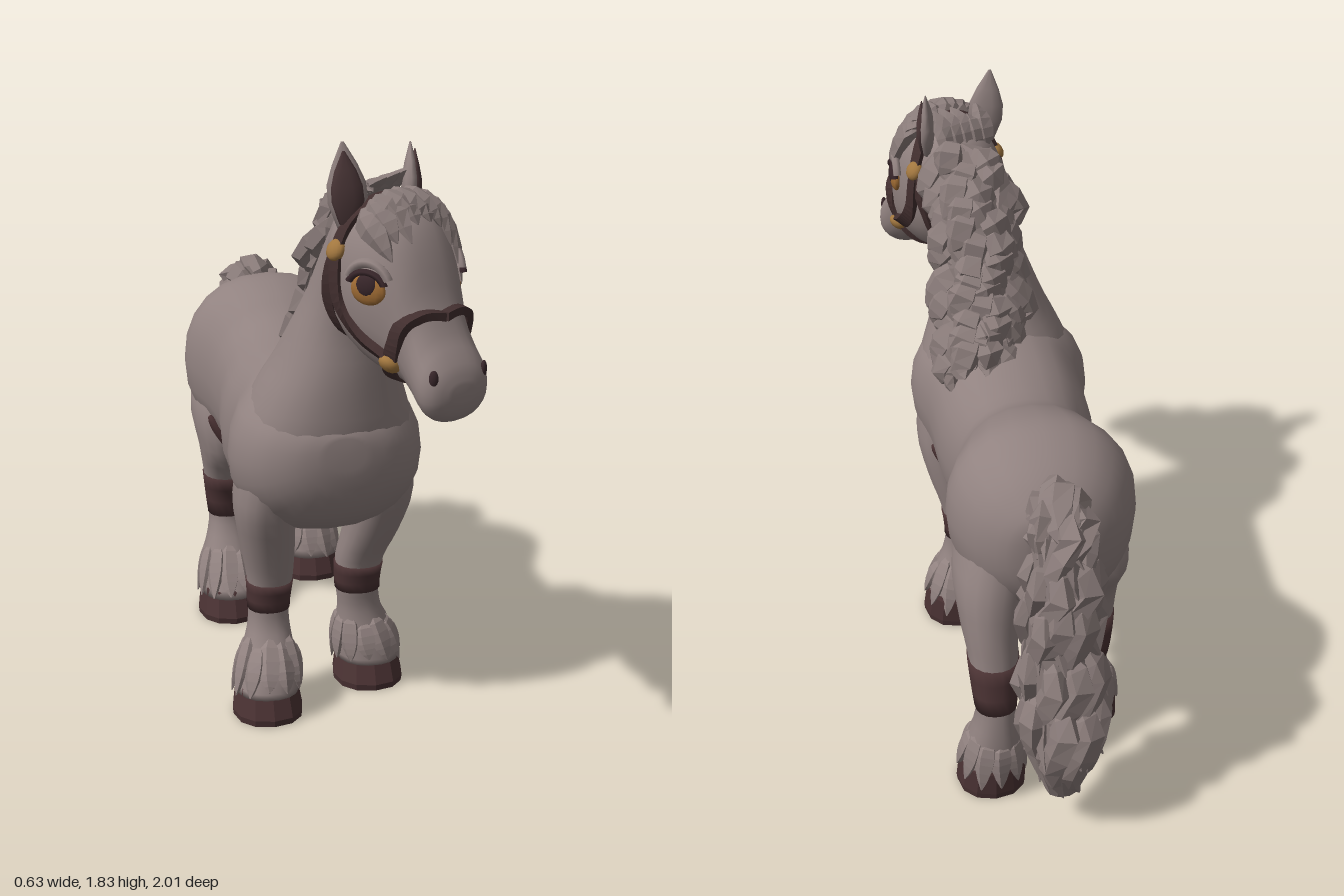
import * as THREE from 'three';
import { mergeGeometries } from 'three/addons/utils/BufferGeometryUtils.js';

const V = (x, y, z) => new THREE.Vector3(x, y, z);
const mat = (name, color) => Object.assign(new THREE.MeshStandardMaterial({ color }), { name });
const put = (parent, name, obj) => { obj.name = name; parent.add(obj); return obj; };
const group = (parent, name) => put(parent, name, new THREE.Group());
const add = (parent, name, geo, m) => put(parent, name, new THREE.Mesh(geo, m));
let seed = 7;
const rnd = () => { seed = (seed * 16807) % 2147483647; return seed / 2147483647 - 0.5; };

// Closed skin over a list of equal-length rings, always facing outward
function loft(rings, flat = false) {
  const n = rings[0].length, idx = [];
  const cap = r => r.map(() => r.reduce((s, p) => s.add(p), V(0, 0, 0)).divideScalar(n));
  const all = [cap(rings[0]), ...rings, cap(rings[rings.length - 1])], pts = all.flat();
  for (let i = 0; i < all.length - 1; i++) for (let j = 0; j < n; j++) {
    const a = i * n + j, b = i * n + (j + 1) % n;
    idx.push(a, b, a + n, b, b + n, a + n);
  }
  let volume = 0;
  for (let i = 0; i < idx.length; i += 3) volume += pts[idx[i]].dot(V(0, 0, 0).crossVectors(pts[idx[i + 1]], pts[idx[i + 2]]));
  if (volume < 0) idx.reverse();
  let g = new THREE.BufferGeometry().setFromPoints(pts).setIndex(idx);
  if (flat) g = g.toNonIndexed();
  g.computeVertexNormals();
  return g;
}
const pw = v => Math.sign(v) * Math.abs(v) ** 0.9;
const ring = (c, u, v, n) => Array.from({ length: n }, (_, i) => {
  const a = i / n * Math.PI * 2;
  return c.clone().addScaledVector(u, pw(Math.cos(a))).addScaledVector(v, pw(Math.sin(a)));
});
// Catmull-Rom refinement of a table of cross-sections
function refine(t, k = 3) {
  const out = [], at = i => t[Math.min(t.length - 1, Math.max(0, i))];
  for (let i = 0; i < t.length - 1; i++) for (let f = 0; f < 0.99; f += 1 / k) {
    out.push(t[i].map((b, c) => {
      const a = at(i - 1)[c], d = at(i + 1)[c], e = at(i + 2)[c];
      return b + 0.5 * f * (d - a + f * (2 * a - 5 * b + 4 * d - e + f * (3 * (b - d) + e - a)));
    }));
  }
  return [...out, t[t.length - 1]];
}
// Linear lookup of a row by its first column
function sample(t, key) {
  const s = Math.sign(t[1][0] - t[0][0]);
  let i = 0;
  while (i < t.length - 2 && (key - t[i + 1][0]) * s > 0) i++;
  const f = THREE.MathUtils.clamp((key - t[i][0]) / (t[i + 1][0] - t[i][0]), 0, 1);
  return t[i].map((v, c) => v + (t[i + 1][c] - v) * f);
}
// Rows [y, cx, cz, rx, rz] and rows [z, top, bottom, cx, halfWidth]
const flatRing = ([y, cx, cz, rx, rz], k = 1, n = 18) => ring(V(cx, y, cz), V(rx * k, 0, 0), V(0, 0, rz * k), n);
const uprightRing = ([z, t, b, cx, w]) => ring(V(cx, (t + b) / 2, z), V(w, 0, 0), V(0, (t - b) / 2, 0), 24);
// Tapered, flattened lock of hair
function lock(points, r, out) {
  const c = new THREE.CatmullRomCurve3(points);
  return loft(Array.from({ length: 7 }, (_, i) => {
    const t = i / 6, d = c.getTangent(t), u = V(0, 0, 0).crossVectors(d, out).normalize();
    const k = r * (0.06 + Math.sin(Math.PI * t ** 0.7) ** 0.8);
    return ring(c.getPoint(t), u.clone().multiplyScalar(k), u.cross(d).multiplyScalar(k * 0.6), 5);
  }), true);
}
// Head cross-sections in the turned head's own frame
const HEAD = refine([
  [-0.14, 1.56, 1.4, 0, 0.06], [-0.09, 1.64, 1.29, 0, 0.125], [0, 1.67, 1.22, 0, 0.155], [0.1, 1.67, 1.19, 0, 0.158],
  [0.17, 1.63, 1.18, 0, 0.142], [0.22, 1.55, 1.165, 0, 0.122], [0.265, 1.43, 1.13, 0, 0.108], [0.31, 1.345, 1.105, 0, 0.112],
  [0.345, 1.3, 1.105, 0, 0.11], [0.372, 1.26, 1.13, 0, 0.085], [0.385, 1.22, 1.17, 0, 0.04]]);
function headPoint(z, deg, k = 1) {
  const [, t, b, , w] = sample(HEAD, z), a = deg * Math.PI / 180;
  return V(k * w * pw(Math.sin(a)), (t + b) / 2 + k * (t - b) / 2 * pw(Math.cos(a)), z);
}
const headNormal = (z, deg) => headPoint(z, deg, 1.2).sub(headPoint(z, deg)).normalize();
function strap(path) {
  const rows = refine(path, 6), P = rows.map(([z, a]) => headPoint(z, a));
  return loft(P.map((p, i) => {
    const d = P[Math.min(i + 1, P.length - 1)].clone().sub(P[Math.max(i - 1, 0)]);
    const o = headNormal(...rows[i]), s = V(0, 0, 0).crossVectors(d, o).normalize();
    return [[-1, -1], [1, -1], [1, 1], [-1, 1]].map(([a, b]) => p.clone().addScaledVector(s, a * 0.022).addScaledVector(o, b * 0.012));
  }), true);
}

export function createModel() {
  const coat = mat('grey coat', 0x918280), hair = mat('grey hair', 0x897b79), hoofM = mat('dark hoof', 0x4a3233);
  const leather = mat('brown leather', 0x412e2e), brass = mat('brass', 0xa2773f), amber = mat('amber iris', 0xa06c34);
  const dark = mat('dark pupil', 0x38262a), inner = mat('inner ear', 0x4a3637);
  const model = Object.assign(new THREE.Group(), { name: 'horse' });
  const ball = (parent, name, m, p, x, y, z) => {
    const b = add(parent, name, new THREE.SphereGeometry(1, 14, 10).scale(x, y, z), m);
    b.position.copy(p);
    return b;
  };
  // Barrel, chest, rump and neck
  add(model, 'body', loft(refine([
    [-0.69, 1.0, 0.82, -0.01, 0.06], [-0.67, 1.04, 0.73, -0.015, 0.14], [-0.6, 1.11, 0.64, -0.02, 0.225], [-0.5, 1.16, 0.61, -0.02, 0.275],
    [-0.4, 1.175, 0.6, -0.02, 0.286], [-0.28, 1.145, 0.58, -0.017, 0.245], [-0.17, 1.1, 0.55, -0.017, 0.225], [0.02, 1.09, 0.52, -0.017, 0.25],
    [0.2, 1.11, 0.545, -0.01, 0.258], [0.33, 1.1, 0.57, -0.01, 0.29], [0.43, 1.08, 0.6, -0.01, 0.285],
    [0.53, 1.04, 0.66, -0.01, 0.23], [0.59, 0.99, 0.75, 0, 0.15], [0.612, 0.95, 0.85, 0, 0.06]]).map(uprightRing)), coat);
  add(model, 'neck', loft(refine([
    [0.8, -0.01, 0.35, 0.26, 0.22], [0.93, -0.005, 0.36, 0.258, 0.243], [1.04, 0, 0.38, 0.222, 0.23], [1.14, 0.01, 0.41, 0.18, 0.2], [1.25, 0.025, 0.44, 0.148, 0.165],
    [1.35, 0.04, 0.475, 0.125, 0.145], [1.48, 0.06, 0.525, 0.112, 0.13], [1.6, 0.075, 0.57, 0.095, 0.09]]).map(r => flatRing(r, 1, 24))), coat);
  // Dark hollows behind the elbow and in front of the stifle
  for (const s of [-1, 1]) for (const [z, x] of [[0.165, 0.195], [-0.285, 0.185]])
    ball(model, 'darkHollow', hoofM, V(s * x - 0.012, 0.655, z), 0.025, 0.1, 0.032).rotation.z = -s * 0.6;

  // Legs, each with a dark band, feathered fetlock and hoof
  const legs = {
    frontLeftLeg: [[0.9, 0.14, 0.36, 0.1, 0.16], [0.7, 0.178, 0.33, 0.095, 0.135], [0.55, 0.16, 0.29, 0.085, 0.105], [0.43, 0.13, 0.255, 0.075, 0.075],
      [0.33, 0.125, 0.245, 0.068, 0.065], [0.25, 0.135, 0.24, 0.07, 0.065], [0.15, 0.152, 0.23, 0.095, 0.1], [0.08, 0.163, 0.232, 0.1, 0.108]],
    frontRightLeg: [[0.9, -0.155, 0.38, 0.1, 0.16], [0.7, -0.195, 0.37, 0.095, 0.135], [0.55, -0.185, 0.35, 0.085, 0.1], [0.43, -0.175, 0.335, 0.072, 0.075],
      [0.33, -0.178, 0.33, 0.063, 0.065], [0.25, -0.18, 0.345, 0.068, 0.065], [0.15, -0.19, 0.385, 0.092, 0.098], [0.08, -0.198, 0.405, 0.098, 0.105]],
    hindLeftLeg: [[0.98, 0.08, -0.47, 0.09, 0.1], [0.75, 0.145, -0.48, 0.11, 0.175], [0.6, 0.16, -0.545, 0.09, 0.14], [0.5, 0.155, -0.605, 0.078, 0.095],
      [0.4, 0.155, -0.64, 0.07, 0.075], [0.3, 0.155, -0.668, 0.062, 0.065], [0.18, 0.16, -0.655, 0.088, 0.09], [0.08, 0.165, -0.635, 0.098, 0.1]],
    hindRightLeg: [[0.98, -0.1, -0.45, 0.09, 0.1], [0.75, -0.175, -0.44, 0.11, 0.17], [0.6, -0.18, -0.4, 0.09, 0.13], [0.5, -0.175, -0.425, 0.078, 0.09],
      [0.4, -0.17, -0.455, 0.07, 0.075], [0.3, -0.17, -0.445, 0.062, 0.065], [0.18, -0.175, -0.4, 0.088, 0.095], [0.08, -0.18, -0.355, 0.098, 0.115]]
  };
  for (const [name, table] of Object.entries(legs)) {
    const leg = group(model, name), rows = refine(table), tufts = [];
    add(leg, 'limb', loft(rows.map(r => flatRing(r))), coat);
    const [lo, hi] = name.startsWith('hind') ? [0.33, 0.48] : [0.32, 0.41];
    add(leg, 'band', loft([0, 1, 2, 3].map(i => flatRing(sample(rows, hi + (lo - hi) * i / 3), 1.05))), hoofM);
    const [, cx, cz, rx, rz] = table[7];
    add(leg, 'hoof', loft([[0.115, -0.015, 0.9], [0.1, -0.01, 0.98], [0.02, 0.008, 1.12], [0, 0.008, 1.09]]
      .map(([y, dz, k]) => flatRing([y, cx, cz + dz, rx, rz], k, 12)), true), hoofM);
    for (let i = 0; i < 11; i++) {
      const a = i / 11 * Math.PI * 2, back = (1 - Math.sin(a)) / 2, out = V(Math.cos(a), 0, Math.sin(a));
      const at = (y, k) => { const r = sample(rows, y); return V(r[1] + out.x * r[3] * k, y, r[2] + out.z * r[4] * k); };
      tufts.push(lock([at(0.23 + rnd() * 0.05, 0.85), at(0.15, 0.95), at(0.095 - back * 0.045 + rnd() * 0.03, 1.08 + back * 0.06)], 0.034, out));
    }
    add(leg, 'feathering', mergeGeometries(tufts), coat);
  }

  // Mane: solid core under tumbling locks
  const crest = new THREE.CatmullRomCurve3([V(0.08, 1.6, 0.52), V(0.065, 1.46, 0.38), V(0.06, 1.29, 0.29), V(0.075, 1.15, 0.19), V(0.09, 1.07, 0.1)]);
  const across = d => V(0, -d.z, d.y);
  const mane = [loft(Array.from({ length: 11 }, (_, i) => {
    const t = i / 10, k = 0.25 + 0.75 * Math.sin(Math.PI * (0.12 + 0.85 * t));
    return ring(crest.getPoint(t), V(0.1 * k, 0, 0), across(crest.getTangent(t)).multiplyScalar(0.08 * k), 9);
  }), true)];
  for (let i = 0; i < 14; i++) for (const s of [-1, -0.4, 0.4, 1]) {
    const p = crest.getPoint(i / 15), d = crest.getTangent(i / 15), n = across(d), w = rnd() * 0.06;
    const at = (x, h, l) => p.clone().add(V(s * x + w, 0, 0)).addScaledVector(n, h * (1.3 - Math.abs(s)) - Math.abs(s) * l * 0.5).addScaledVector(d, l + rnd() * 0.04);
    mane.push(lock([at(0.03, 0.06, -0.02), at(0.1, 0.1, 0.04), at(0.13 + rnd() * 0.06, 0.06, 0.09), at(0.1, 0.09, 0.14)], 0.048, V(s, 0, 0).add(n)));
  }
  add(model, 'mane', mergeGeometries(mane), hair);

  // Tail: arched core wrapped in wavy locks
  const dock = [[1.06, -0.64, 0.05], [1.07, -0.75, 0.065], [0.96, -0.81, 0.085], [0.75, -0.805, 0.105], [0.52, -0.825, 0.11], [0.32, -0.868, 0.11], [0.13, -0.85, 0.05]];
  const spine = new THREE.CatmullRomCurve3(dock.map(([y, z]) => V(-0.02, y, z)));
  const width = t => sample(dock.map((r, i) => [i / 6, r[2]]), t)[1];
  const tail = [loft(Array.from({ length: 13 }, (_, i) => {
    const t = i / 12, w = width(t);
    return ring(spine.getPoint(t), V(w, 0, 0), across(spine.getTangent(t)).multiplyScalar(w * 0.8), 10);
  }), true)];
  for (let row = 0; row < 6; row++) for (let j = 0; j < 8; j++) {
    const t0 = Math.max(0, row * 0.135 + rnd() * 0.08), a = (j + row * 0.5) / 8 * Math.PI * 2, w0 = rnd() * 0.6;
    const dir = (t, b) => across(spine.getTangent(t)).multiplyScalar(Math.sin(b)).add(V(Math.cos(b), 0, 0));
    const at = (dt, k, w) => { const t = Math.min(1, t0 + dt); return spine.getPoint(t).addScaledVector(dir(t, a + w), width(t) * k); };
    tail.push(lock([at(0, 0.7, 0), at(0.09, 1.1, 0.35 + w0), at(0.19, 0.85, -0.25), at(0.3, 1.12, 0.2 - w0)], 0.046, dir(t0, a)));
  }
  add(model, 'tail', mergeGeometries(tail), hair);

  // Head, turned to its left
  const head = group(model, 'head');
  head.position.set(0.09, 0, 0.63);
  head.rotation.y = 0.385;
  add(head, 'skull', loft(HEAD.map(uprightRing)), coat);
  for (const [s, side] of [[-1, 'right'], [1, 'left']]) {
    // Eye with iris, pupil, lashes and lid
    const eye = group(head, side + 'Eye');
    eye.position.copy(headPoint(0.145, s * 82, 1.0));
    eye.rotation.y = s * 1.2;
    ball(eye, 'iris', amber, V(0, -0.004, 0), 0.056, 0.044, 0.018);
    ball(eye, 'pupil', dark, V(0, 0.008, 0.007), 0.034, 0.034, 0.015);
    add(eye, 'lashes', new THREE.TorusGeometry(0.054, 0.011, 5, 12, 2.5).rotateZ(0.32).scale(1.1, 0.85, 1).translate(0, 0, 0.008), dark);
    add(eye, 'eyelid', new THREE.TorusGeometry(0.07, 0.014, 6, 12, 2.3).rotateZ(0.42), coat);
    // Ear
    const ear = group(head, side + 'Ear'), h = s < 0 ? 1.05 : 0.92;
    ear.position.set(s * 0.105, 1.62, -0.005);
    ear.rotation.set(0, s < 0 ? -0.55 : 1.0, s < 0 ? 0.1 : -0.2);
    const leaf = (k, dz, depth) => loft([[-0.03, 0.035], [0.04, 0.056], [0.09, 0.054], [0.14, 0.035], [0.2, 0.004]]
      .map(([y, w]) => ring(V(0, (0.06 + (y - 0.06) * k) * h, dz), V(w * k, 0, 0), V(0, 0, w * depth), 10)));
    add(ear, 'earShell', leaf(1, 0, 0.45), coat);
    add(ear, 'earInside', leaf(0.84, 0.013, 0.36), inner);
    ball(head, side + 'Nostril', dark, headPoint(0.36, s * 58), 0.013, 0.024, 0.009).rotation.y = s * 0.7;
    // Bridle straps and brass studs
    const straps = [[[0.285, 0], [0.265, 45], [0.23, 95], [0.2, 125]], [[0.2, 125], [0.17, 150], [0.15, 180]],
      [[0.2, 125], [0.1, 118], [0.02, 100], [0, 70]], [[0, 70], [-0.05, 105], [-0.05, 145], [-0.04, 180]], [[0, 70], [0.01, 52], [0.03, 30], [0.045, 0]]];
    add(head, side + 'Bridle', mergeGeometries(straps.map(p => strap(p.map(([z, a]) => [z, a * s])))), leather);
    for (const [z, a] of [[0.2, 125 * s], [0, 70 * s]])
      ball(head, side + 'Stud', brass, headPoint(z, a, 1.04), 0.033, 0.033, 0.022).quaternion.setFromUnitVectors(V(0, 0, 1), headNormal(z, a));
  }
  // Forelock falling in front of the browband, and tufts at the poll
  const fringe = [];
  for (let a = -52; a <= 60; a += 14)
    fringe.push(lock([headPoint(0.055, a * 0.5, 1.03), headPoint(0.1, a * 0.7 + rnd() * 10, 1.07), headPoint(0.15, a + 6, 1.05),
      headPoint(0.19 + rnd() * 0.04, a * 1.1 + 8, 1.03)], 0.042, headNormal(0, a)));
  for (let x = -0.07; x < 0.08; x += 0.035)
    fringe.push(lock([V(x, 1.6, -0.09), V(x, 1.68, -0.05), V(x * 1.3 + 0.01, 1.71 + rnd() * 0.07, 0.01)], 0.034, V(0, 0, 1)));
  add(head, 'forelock', mergeGeometries(fringe), hair);
  return model;
}
